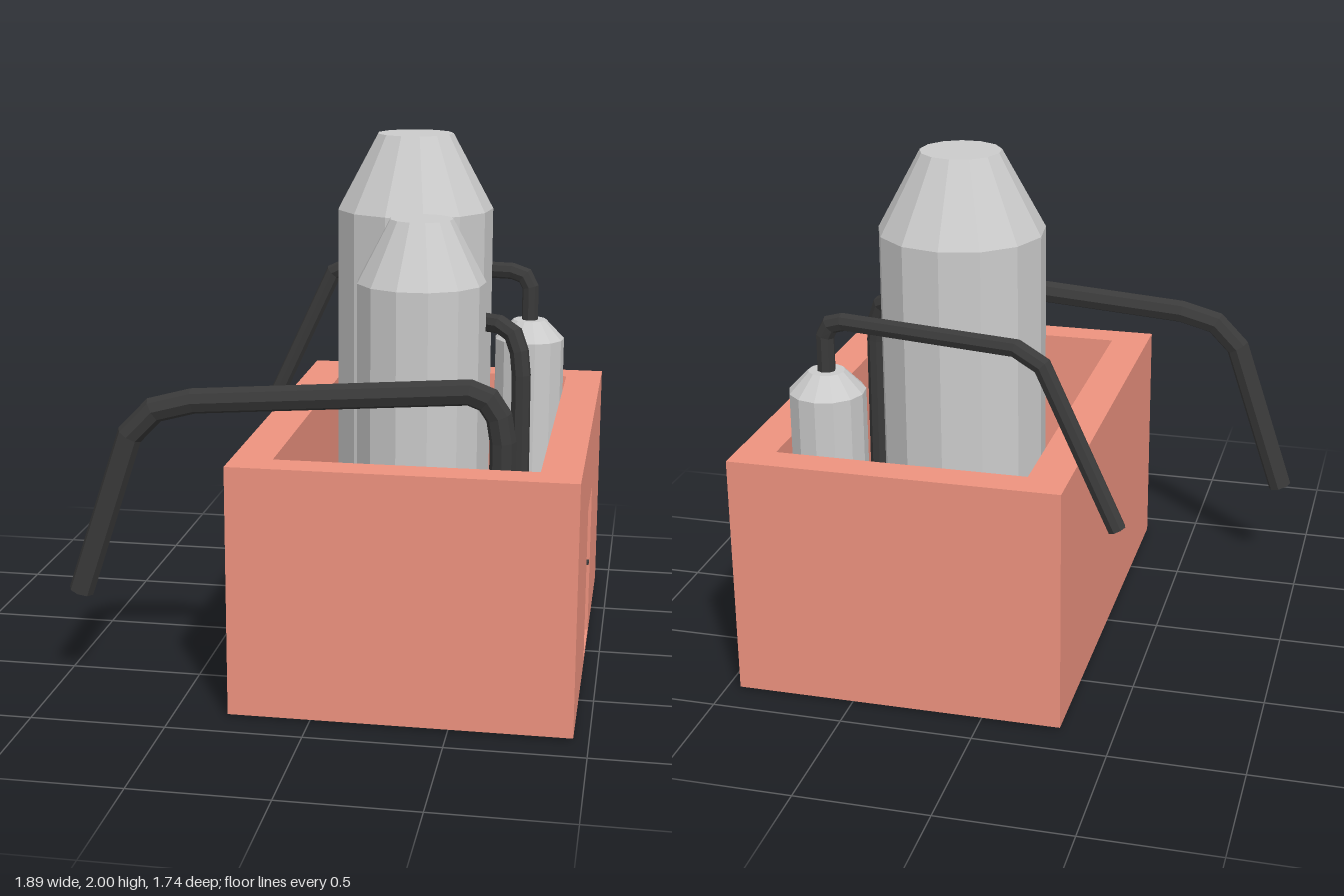
import * as THREE from 'three';

const paint = (color) => new THREE.MeshStandardMaterial({ color, flatShading: true });

function add(parent, name, geometry, material, x = 0, y = 0, z = 0) {
  const mesh = new THREE.Mesh(geometry, material);
  mesh.name = name;
  mesh.position.set(x, y, z);
  parent.add(mesh);
  return mesh;
}

// Closed pipe with mitred bends; its bends lie roughly in one upright plane.
function pipeGeometry(path, radius, sides = 8) {
  const pts = path.map((p) => new THREE.Vector3(...p));
  const last = pts.length - 1;
  const run = pts[last].clone().sub(pts[0]).setY(0).normalize();
  const side = new THREE.Vector3(run.z, 0, -run.x);
  const positions = [], index = [];
  const ring = (p, normal, b, rn, rb) => {
    for (let j = 0; j < sides; j++) {
      const a = (j / sides) * Math.PI * 2;
      const v = p.clone().addScaledVector(normal, Math.cos(a) * rn).addScaledVector(b, Math.sin(a) * rb);
      positions.push(v.x, v.y, v.z);
    }
  };
  pts.forEach((p, i) => {
    const before = p.clone().sub(pts[Math.max(i - 1, 0)]).normalize();
    const after = pts[Math.min(i + 1, last)].clone().sub(p).normalize();
    const tangent = before.clone().add(after).normalize();
    const mitre = i === 0 || i === last ? 1 : 1 / tangent.dot(after);
    const normal = side.clone().cross(tangent).normalize();
    const b = tangent.clone().cross(normal);
    if (i === 0) ring(p, normal, b, 0, 0);
    ring(p, normal, b, radius * mitre, radius);
    if (i === last) ring(p, normal, b, 0, 0);
  });
  for (let i = 0; i < last + 2; i++) {
    for (let j = 0; j < sides; j++) {
      const k = (j + 1) % sides;
      const a = i * sides + j, b = i * sides + k, c = b + sides, d = a + sides;
      if (i > 0) index.push(a, b, c);
      if (i <= last) index.push(a, c, d);
    }
  }
  const geometry = new THREE.BufferGeometry();
  geometry.setAttribute('position', new THREE.Float32BufferAttribute(positions, 3));
  geometry.setIndex(index);
  geometry.computeVertexNormals();
  return geometry;
}

export function createModel() {
  const model = new THREE.Group();
  model.name = 'tankHouse';
  const brick = paint(0xee937f);
  const metal = paint(0xcccccc);
  const dark = paint(0x3a3a3a);

  // Open-topped building: floor slab, three walls and a wall with a doorway
  const building = new THREE.Group();
  building.name = 'building';
  model.add(building);
  const floor = 0.03, top = 0.94, height = top - floor;
  add(building, 'floor', new THREE.BoxGeometry(1.245, 0.02, 1.74), brick, 0.3225, 0.02, 0);

  const plan = new THREE.Shape([
    [0.8, 0.87], [-0.3, 0.87], [-0.3, -0.87], [0.8, -0.87],
    [0.8, -0.745], [-0.15, -0.745], [-0.15, 0.745], [0.8, 0.745],
  ].map(([x, y]) => new THREE.Vector2(x, y)));
  const walls = new THREE.ExtrudeGeometry(plan, { depth: height, bevelEnabled: false });
  walls.rotateX(-Math.PI / 2);
  add(building, 'walls', walls, brick, 0, floor, 0);

  const elevation = new THREE.Shape([
    [-0.87, floor], [-0.16, floor], [-0.16, 0.635], [0.155, 0.635],
    [0.155, floor], [0.87, floor], [0.87, top], [-0.87, top],
  ].map(([x, y]) => new THREE.Vector2(x, y)));
  const doorWall = new THREE.ExtrudeGeometry(elevation, { depth: 0.145, bevelEnabled: false });
  doorWall.rotateY(Math.PI / 2);
  add(building, 'doorWall', doorWall, brick, 0.8, 0, 0);

  // Recessed door with its handle
  add(model, 'door', new THREE.BoxGeometry(0.03, 0.635, 0.315), metal, 0.915, 0.3175, 0.0025);
  add(model, 'doorHandle', new THREE.BoxGeometry(0.014, 0.012, 0.034), dark, 0.936, 0.327, -0.123);

  // Tanks: 13-sided bodies with tapered shoulders
  const tanks = [
    { name: 'largeTank', x: 0.207, z: -0.305, r: 0.31, neck: 0.15, shoulder: 1.705, top: 2 },
    { name: 'mediumTank', x: 0.325, z: 0.372, r: 0.237, neck: 0.115, shoulder: 1.53, top: 1.76 },
    { name: 'smallTank', x: 0.652, z: -0.58, r: 0.143, neck: 0.068, shoulder: 1.137, top: 1.215 },
  ];
  for (const t of tanks) {
    const profile = [[0, floor], [t.r, floor], [t.r, t.shoulder], [t.neck, t.top], [0, t.top]]
      .map(([x, y]) => new THREE.Vector2(x, y));
    add(model, t.name, new THREE.LatheGeometry(profile, 13, Math.PI), metal, t.x, 0, t.z);
  }

  // Pipes
  add(model, 'frontPipe', pipeGeometry([
    [0.66, floor, 0.667], [0.66, 1.02, 0.667], [0.645, 1.11, 0.667], [0.605, 1.17, 0.667],
    [0.54, 1.195, 0.667], [-0.46, 1.122, 0.667], [-0.605, 1.083, 0.667],
    [-0.7, 0.985, 0.667], [-0.903, 0.375, 0.667],
  ], 0.047), dark);
  add(model, 'tankPipe', pipeGeometry([
    [0.675, floor, 0.045], [0.67, 1.12, 0.042], [0.66, 1.21, 0.036], [0.635, 1.275, 0.022],
    [0.58, 1.305, -0.008], [0.35, 1.305, -0.135],
  ], 0.037), dark);
  add(model, 'rearPipe', pipeGeometry([
    [0.652, 1.19, -0.58], [0.652, 1.35, -0.58], [0.628, 1.395, -0.585], [0.575, 1.412, -0.595],
    [-0.1, 1.41, -0.715], [-0.2, 1.36, -0.735], [-0.475, 0.77, -0.745],
  ], 0.034), dark);

  return model;
}
